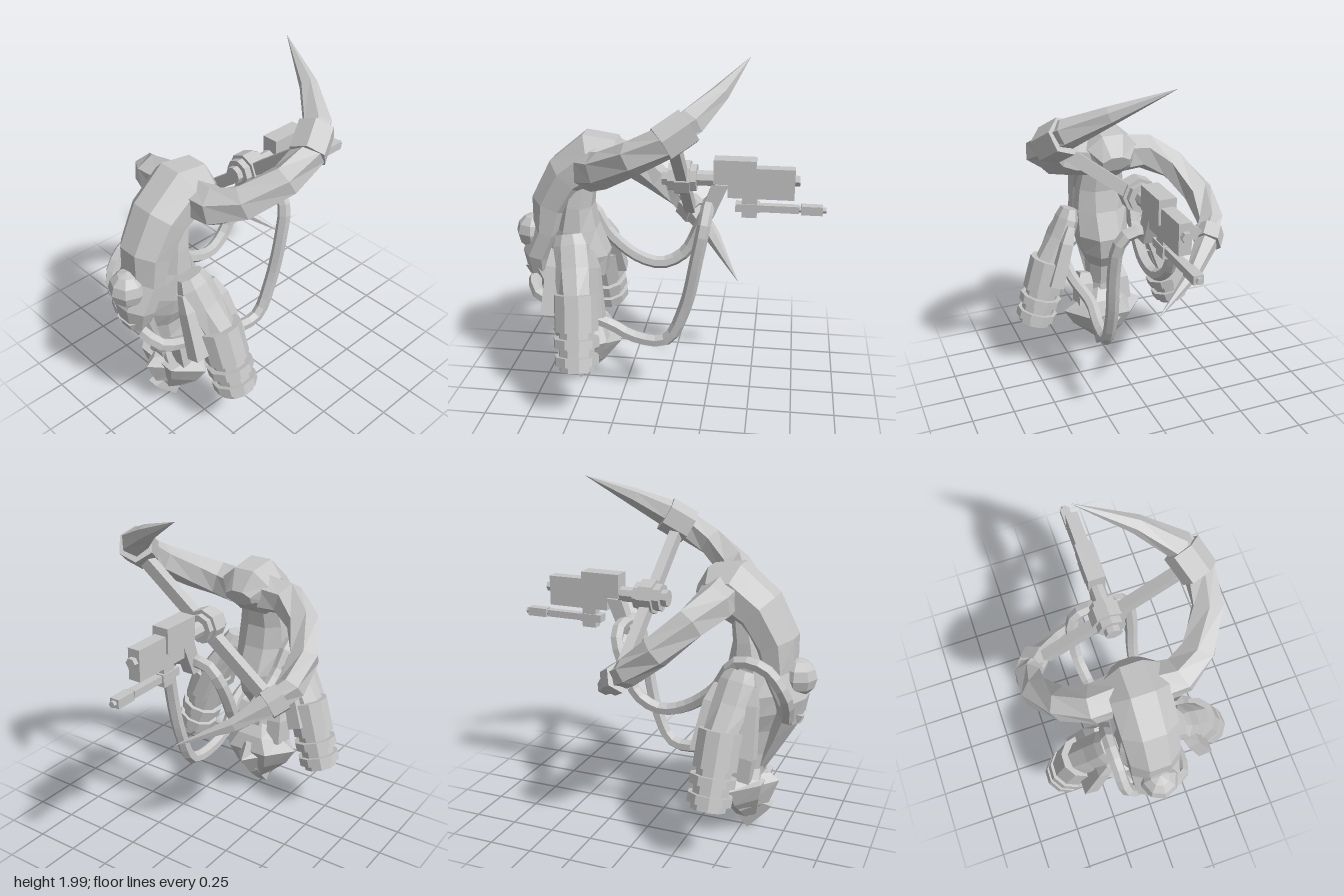
import * as THREE from 'three';

const grey = new THREE.MeshStandardMaterial({ color: 0xc6c6c6 });
grey.name = 'plain grey';
grey.flatShading = true;
const V = (p) => new THREE.Vector3(...p);
const Z = [0, 0, 1], Y = [0, 1, 0];

// Skin over stations [x, y, z, sideRadius, normalRadius]; ref sets the side direction
function loft(stations, ref, sides, phase = 0) {
  const c = stations.map((s) => V(s.slice(0, 3)));
  const pos = [], idx = [], n = c.length;
  c.forEach((p, i) => {
    const t = c[Math.min(i + 1, n - 1)].clone().sub(c[Math.max(i - 1, 0)]).normalize();
    const r = V(ref);
    const side = r.addScaledVector(t, -r.dot(t)).normalize();
    const nor = t.clone().cross(side);
    const a = stations[i][3], b = stations[i][4] ?? a;
    for (let j = 0; j < sides; j++) {
      const f = ((j + phase) / sides) * Math.PI * 2;
      const q = p.clone().addScaledVector(side, a * Math.cos(f)).addScaledVector(nor, b * Math.sin(f));
      pos.push(q.x, q.y, q.z);
    }
  });
  pos.push(...c[0].toArray(), ...c[n - 1].toArray());
  for (let j = 0; j < sides; j++) {
    const k = (j + 1) % sides;
    for (let i = 0; i < n - 1; i++) {
      const A = i * sides, B = A + sides;
      idx.push(A + j, A + k, B + k, A + j, B + k, B + j);
    }
    const e = (n - 1) * sides;
    idx.push(n * sides, k, j, n * sides + 1, e + j, e + k);
  }
  let g = new THREE.BufferGeometry();
  g.setAttribute('position', new THREE.Float32BufferAttribute(pos, 3));
  g.setIndex(idx);
  g = g.toNonIndexed();
  g.computeVertexNormals();
  return g;
}

// Flat outline in x and y, thickened evenly about z = 0
const plate = (pts, depth) => new THREE.ExtrudeGeometry(
  new THREE.Shape(pts.map((p) => new THREE.Vector2(...p))), { depth, bevelEnabled: false })
  .translate(0, 0, -depth / 2);

export function createModel() {
  const root = new THREE.Group();
  const add = (name, geo, parent = root) => {
    const m = new THREE.Mesh(geo, grey);
    m.name = name;
    parent.add(m);
    return m;
  };
  const box = (name, x0, x1, y0, y1, z0, z1) =>
    add(name, new THREE.BoxGeometry(x1 - x0, y1 - y0, z1 - z0))
      .position.set((x0 + x1) / 2, (y0 + y1) / 2, (z0 + z1) / 2);
  // Straight round or many-sided bar between two points
  const rod = (name, p, q, r, sides = 8, parent = root) => {
    const a = V(p), b = V(q), d = b.clone().sub(a);
    const m = add(name, new THREE.CylinderGeometry(r, r, d.length(), sides), parent);
    m.position.copy(a).add(b).multiplyScalar(0.5);
    m.quaternion.setFromUnitVectors(new THREE.Vector3(0, 1, 0), d.normalize());
  };

  // Arched hood running from the brow down the back
  add('hood', loft([
    [-0.23, 1.39, 0, 0.09, 0.05], [-0.31, 1.42, 0, 0.165, 0.14], [-0.41, 1.425, 0, 0.175, 0.172],
    [-0.56, 1.32, 0, 0.17, 0.15], [-0.66, 1.15, 0, 0.155, 0.135], [-0.69, 0.99, 0, 0.15, 0.1],
    [-0.76, 0.84, 0, 0.14, 0.1], [-0.76, 0.71, 0, 0.09, 0.07],
  ], Z, 8, 0.5));

  // Torso with a full chest narrowing to the waist
  add('torso', loft([
    [-0.49, 1.3, 0, 0.13, 0.08], [-0.52, 1.16, 0, 0.155, 0.095], [-0.53, 1.02, 0, 0.17, 0.13],
    [-0.53, 0.86, 0, 0.17, 0.2], [-0.54, 0.74, 0, 0.14, 0.19], [-0.55, 0.64, 0, 0.09, 0.14],
    [-0.54, 0.5, 0, 0.085, 0.11], [-0.52, 0.34, 0, 0.1, 0.1],
  ], Z, 8, 0.5));
  add('lowerBack', loft([
    [-0.76, 0.79, 0, 0.11, 0.1], [-0.69, 0.6, 0, 0.08, 0.06], [-0.6, 0.4, 0, 0.05, 0.03],
  ], Z, 6));
  const ball = add('backBulb', new THREE.SphereGeometry(0.108, 8, 6));
  ball.position.set(-0.79, 0.965, 0);

  // Pointed lower end: wide side points, a sharp crosswise wedge and a thin keel
  add('lowerHull', loft([
    [-0.53, 0.45, 0, 0.09, 0.1], [-0.5, 0.38, 0, 0.17, 0.14], [-0.495, 0.33, 0, 0.265, 0.17],
    [-0.51, 0.22, 0, 0.2, 0.13], [-0.53, 0.09, 0, 0.06, 0.07],
  ], Z, 6));
  add('hullWedge', loft([
    [-0.5, 0.37, 0, 0.12, 0.16], [-0.498, 0.3, 0, 0.2, 0.215], [-0.525, 0.16, 0, 0.14, 0.135],
    [-0.535, 0.08, 0, 0.045, 0.075],
  ], Z, 4));
  add('keel', plate([[-0.68, 0.17], [-0.65, 0.13], [-0.54, 0.01], [-0.4, 0.17], [-0.53, 0.2]], 0.07));

  for (const s of [1, -1]) {
    const label = s > 0 ? 'left' : 'right';
    add(label + 'Hip', loft([
      [-0.55, 0.56, s * 0.11, 0.05, 0.07], [-0.53, 0.5, s * 0.12, 0.065, 0.09], [-0.51, 0.36, s * 0.13, 0.065, 0.1],
    ], Z, 4, 0.5));

    // Upper arm, side plates and stepped canister
    const arm = new THREE.Group();
    arm.name = label + 'Arm';
    root.add(arm);
    add('upperArm', loft([
      [-0.53, 1.03, s * 0.2, 0.05, 0.08], [-0.52, 0.97, s * 0.22, 0.07, 0.105],
      [-0.5, 0.85, s * 0.275, 0.08, 0.11], [-0.47, 0.7, s * 0.355, 0.1, 0.1],
    ], Z, 8, 0.5), arm);
    const top = new THREE.Vector3(-0.47, 0.735, s * 0.35);
    const axis = new THREE.Vector3(0.05, -0.93, s * 0.29).normalize();
    const steps = [[0, 0.205, 0.125], [0.205, 0.26, 0.1], [0.245, 0.295, 0.13],
      [0.295, 0.35, 0.102], [0.345, 0.395, 0.126], [0.395, 0.43, 0.1]];
    for (const [a, b, r] of steps) {
      rod('canisterStep', top.clone().addScaledVector(axis, a).toArray(),
        top.clone().addScaledVector(axis, b).toArray(), r, 10, arm);
    }
    for (const [x0, x1] of [[-0.6, -0.61], [-0.42, -0.365]]) {
      add('armPlate', loft([
        [x0, 0.95, s * 0.23, 0.03, 0.04], [(x0 + x1) / 2, 0.86, s * 0.27, 0.05, 0.06],
        [x1, 0.6, s * 0.36, 0.06, 0.08],
      ], Z, 4, 0.5), arm);
    }
  }

  // Upper and lower horns sweep to opposite heights
  add('upperHorn', loft([
    [-0.38, 1.4, 0.1, 0.115], [-0.385, 1.415, 0.24, 0.108], [-0.3, 1.465, 0.37, 0.1],
    [-0.12, 1.57, 0.48, 0.09], [0.05, 1.66, 0.485, 0.088], [0.17, 1.75, 0.42, 0.08],
    [0.3, 1.86, 0.23, 0.05], [0.44, 2.0, -0.065, 0.001],
  ], Y, 6));
  add('lowerHorn', loft([
    [-0.37, 1.4, -0.1, 0.115], [-0.38, 1.39, -0.24, 0.108], [-0.3, 1.31, -0.39, 0.095],
    [-0.15, 1.17, -0.495, 0.088], [0.0, 1.05, -0.505, 0.08], [0.11, 0.97, -0.43, 0.072],
    [0.24, 0.86, -0.29, 0.045], [0.41, 0.71, 0.0, 0.001],
  ], Y, 6));
  rod('upperHornCollar', [0.03, 1.65, 0.485], [0.16, 1.735, 0.425], 0.105, 6);
  rod('lowerHornCollar', [0.05, 1.01, -0.48], [0.12, 0.965, -0.425], 0.088, 6);

  // Diagonal strut carrying the gun between the horns
  const strut = add('strut', new THREE.BoxGeometry(0.06, 1.02, 0.07));
  strut.position.set(0.087, 1.33, 0.03);
  strut.quaternion.setFromUnitVectors(V(Y), V([0, 0.62, 0.8]).normalize());

  // Gun hub and stock along x
  for (const [a, b, r] of [[-0.03, 0.01, 0.05], [0.005, 0.045, 0.08], [0.045, 0.13, 0.1],
    [0.13, 0.165, 0.08], [0.165, 0.27, 0.045]]) {
    rod('gunHub', [a, 1.33, 0], [b, 1.33, 0], r, 8);
  }
  box('gunBody', 0.26, 0.495, 1.31, 1.45, -0.05, 0.05);
  box('gunBarrelHousing', 0.34, 0.71, 1.23, 1.405, -0.036, 0.036);
  rod('gunMuzzle', [0.7, 1.335, 0], [0.738, 1.335, 0], 0.03, 6);
  box('lowerBarrelMount', 0.42, 0.505, 1.115, 1.24, -0.028, 0.028);
  box('lowerBarrelRear', 0.385, 0.52, 1.15, 1.195, -0.035, 0.035);
  box('lowerBarrel', 0.52, 0.74, 1.15, 1.19, -0.024, 0.024);
  box('lowerBarrelTip', 0.75, 0.87, 1.145, 1.195, -0.028, 0.028);
  rod('lowerMuzzle', [0.73, 1.17, 0], [0.89, 1.17, 0], 0.018, 6);
  add('gunGrip', plate([[0.25, 1.3], [0.18, 1.1], [0.26, 1.1], [0.345, 1.3]], 0.07));

  // Hoses from the back to the grip
  const hose = (name, pts) => add(name, new THREE.TubeGeometry(
    new THREE.CatmullRomCurve3(pts.map(V), false, 'centripetal'), 30, 0.038, 6));
  hose('leftHose', [[-0.78, 0.7, 0.08], [-0.74, 0.65, 0.18], [-0.52, 0.56, 0.2], [-0.32, 0.45, 0.14],
    [-0.18, 0.385, 0.15], [0.01, 0.385, 0.165], [0.12, 0.6, 0.17], [0.19, 0.93, 0.18],
    [0.22, 1.09, 0.165], [0.23, 1.16, 0.11], [0.23, 1.17, 0]]);
  hose('rightHose', [[-0.76, 0.74, -0.08], [-0.77, 0.9, -0.18], [-0.66, 1.05, -0.2], [-0.5, 1.07, -0.2],
    [-0.38, 0.9, -0.18], [-0.2, 0.765, -0.16], [-0.05, 0.73, -0.17], [0.08, 0.8, -0.19],
    [0.17, 0.98, -0.19], [0.22, 1.1, -0.165], [0.23, 1.16, -0.11], [0.23, 1.17, 0]]);

  return root;
}
